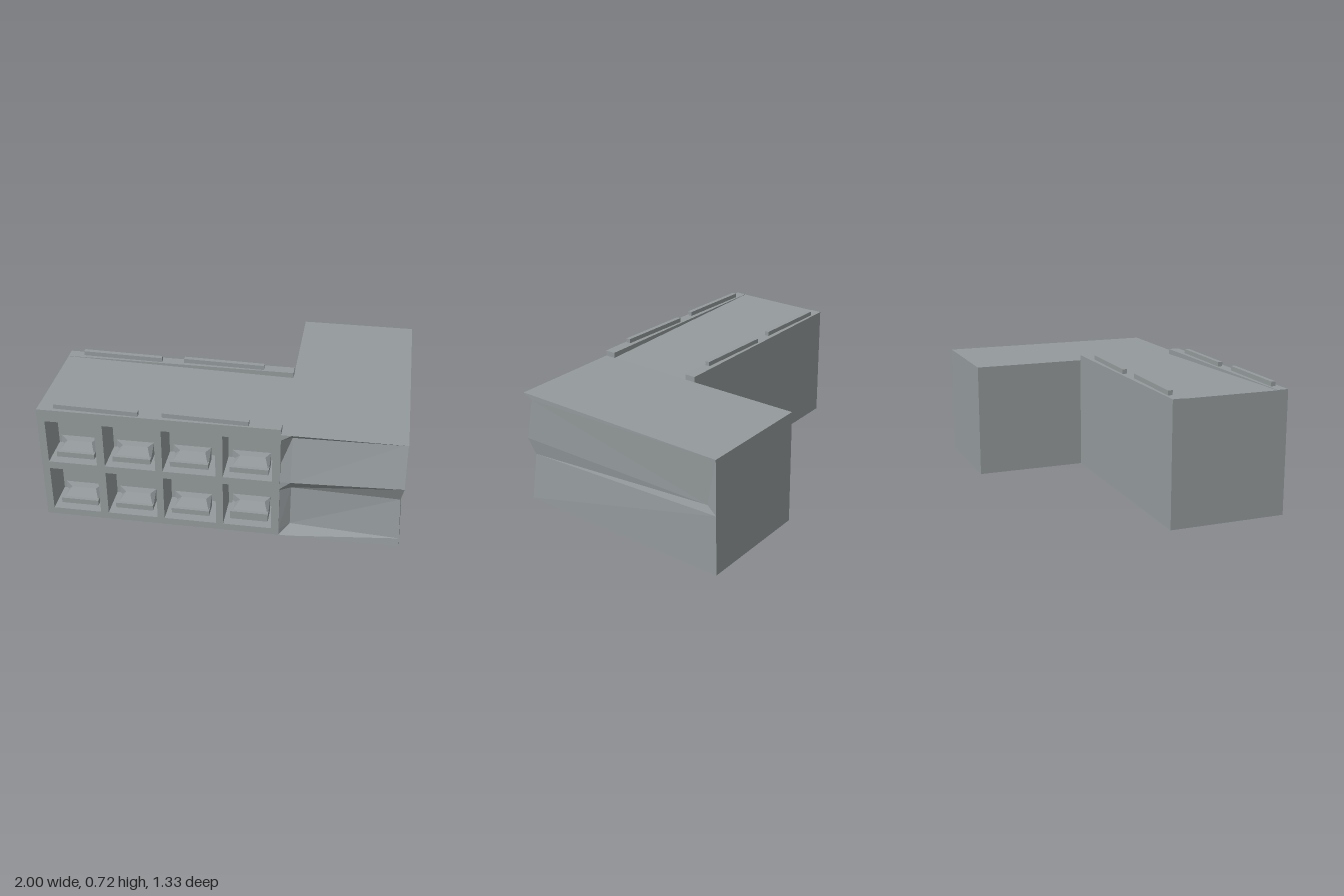
import * as THREE from 'three';

const concrete = new THREE.MeshStandardMaterial({ color: 0x949a9c, flatShading: true });
concrete.name = 'concrete grey';

// Mesh from convex polygons, corners counter-clockwise as seen from outside
function facets(name, polygons) {
  const pos = [];
  for (const p of polygons) {
    for (let i = 1; i < p.length - 1; i++) pos.push(...p[0], ...p[i], ...p[i + 1]);
  }
  const g = new THREE.BufferGeometry();
  g.setAttribute('position', new THREE.Float32BufferAttribute(pos, 3));
  g.computeVertexNormals();
  return named(name, g);
}

function named(name, geometry) {
  const m = new THREE.Mesh(geometry, concrete);
  m.name = name;
  return m;
}

function box(name, x0, x1, y0, y1, z0, z1) {
  const g = new THREE.BoxGeometry(x1 - x0, y1 - y0, z1 - z0);
  g.translate((x0 + x1) / 2, (y0 + y1) / 2, (z0 + z1) / 2);
  return named(name, g);
}

function extrude(name, shape, z0, depth) {
  const g = new THREE.ExtrudeGeometry(shape, { depth, bevelEnabled: false });
  g.translate(0, 0, z0);
  return named(name, g);
}

const polygon = (pts) => new THREE.Shape(pts.map(([x, y]) => new THREE.Vector2(x, y)));
const rect = (x0, x1, y0, y1) => polygon([[x0, y0], [x1, y0], [x1, y1], [x0, y1]]);

const H = 0.665, SPLIT = 0.333, FRONT = 0.66, REAR = -0.01, RECESS = 0.2;
const bayX = [[-0.96, -0.685], [-0.64, -0.355], [-0.315, -0.02], [0.02, 0.29]];
const bayY = [[0.04, 0.315], [0.36, 0.625]];

function longWing() {
  const wing = new THREE.Group();
  wing.name = 'longWing';
  wing.add(box('longWingBody', -1, SPLIT, 0, H, REAR, FRONT - RECESS));

  // Front frame with eight open bays
  const frame = rect(-1, SPLIT, 0, H);
  for (const [x0, x1] of bayX) {
    for (const [y0, y1] of bayY) frame.holes.push(rect(x0, x1, y0, y1));
  }
  wing.add(extrude('bayFrame', frame, FRONT - RECESS, RECESS));

  // Gently sloping roof
  wing.add(extrude('slopedRoof', polygon([[-1, H], [SPLIT, H], [-1, 0.695]]), REAR, FRONT - REAR));

  // Parapets and tapered rails along both long edges
  for (const z of [REAR, 0.595]) {
    wing.add(box('parapet', -1, SPLIT, H, 0.697, z, z + 0.065));
    for (const x of [-0.91, -0.31]) {
      const rail = box('roofRail', x, x + 0.47, 0.697, 0.723, z + 0.015, z + 0.042);
      const p = rail.geometry.attributes.position;
      for (let i = 0; i < p.count; i++) {
        if (p.getX(i) > x + 0.2) p.setZ(i, p.getZ(i) + 0.013);
      }
      rail.geometry.computeVertexNormals();
      wing.add(rail);
    }
  }

  // A bench-like block inside each bay, sloping up to its back
  bayX.forEach(([x0], c) => bayY.forEach(([y0], r) => {
    const a = x0 + 0.03, b = a + 0.215;
    const y = y0 + (r === 0 && c === 3 ? 0.03 : 0.012);
    const unit = new THREE.Group();
    unit.name = 'bayBench';
    const block = box('benchBlock', a, b, y, y + 0.065, 0.5, 0.6);
    const p = block.geometry.attributes.position;
    for (let i = 0; i < p.count; i++) {
      if (p.getY(i) > y + 0.03 && p.getZ(i) > 0.55) {
        p.setX(i, p.getX(i) < (a + b) / 2 ? a + 0.05 : b - 0.025);
        p.setZ(i, 0.55);
      }
    }
    block.geometry.computeVertexNormals();
    unit.add(block, box('benchFoot', a, b, y0, y + 0.02, 0.5, 0.605));
    wing.add(unit);
  }));
  return wing;
}

function crossWing() {
  const wing = new THREE.Group();
  wing.name = 'crossWing';
  const S = SPLIT, B = -0.665;

  // Front columns from bottom to top: flush edge, recessed edge, outer corner
  const cols = [
    [[S, 0, FRONT], [S, 0.04, FRONT], [S - 0.02, 0.3, FRONT], [S - 0.04, 0.36, FRONT], [S, 0.63, FRONT], [S, H, FRONT]],
    [[0.39, 0, FRONT], [0.39, 0.05, 0.61], [0.39, 0.29, 0.6], [0.39, 0.355, 0.65], [0.39, 0.615, 0.6], [0.39, H, FRONT]],
    [[1, 0, FRONT], [0.997, 0.05, 0.653], [0.985, 0.29, 0.62], [1, 0.385, FRONT], [1, 0.635, 0.6], [1, H, FRONT]],
  ];
  const front = [];
  for (let c = 0; c < 2; c++) {
    for (let r = 0; r < 5; r++) {
      front.push([cols[c][r], cols[c + 1][r], cols[c + 1][r + 1], cols[c][r + 1]]);
    }
  }
  wing.add(facets('crossWingFront', front));

  // Outer side with a long wedge-shaped groove
  const [p0, p1, p2, p3, p4, p5] = cols[2];
  const low = [1, 0, B], mid = [1, 0.35, B], top = [1, H, B], dent = [0.985, 0.385, -0.6];
  wing.add(facets('crossWingSide', [
    [p0, low, mid], [p0, mid, p1], [p1, mid, p2],
    [p2, mid, dent], [p2, dent, p3], [p3, dent, p4],
    [dent, top, p4], [p4, top, p5], [mid, top, dent],
  ]));

  // Roof, back, inner wall and underside
  wing.add(facets('crossWingShell', [
    [[S, H, FRONT], [1, H, FRONT], [1, H, B], [S, H, B]],
    [[1, 0, B], [S, 0, B], [S, H, B], [1, H, B]],
    [[S, 0, B], [S, 0, FRONT], [S, H, FRONT], [S, H, B]],
    [[S, 0, B], [1, 0, B], [1, 0, FRONT], [S, 0, FRONT]],
  ]));
  return wing;
}

export function createModel() {
  const model = new THREE.Group();
  model.name = 'building';
  model.add(longWing(), crossWing());
  return model;
}
